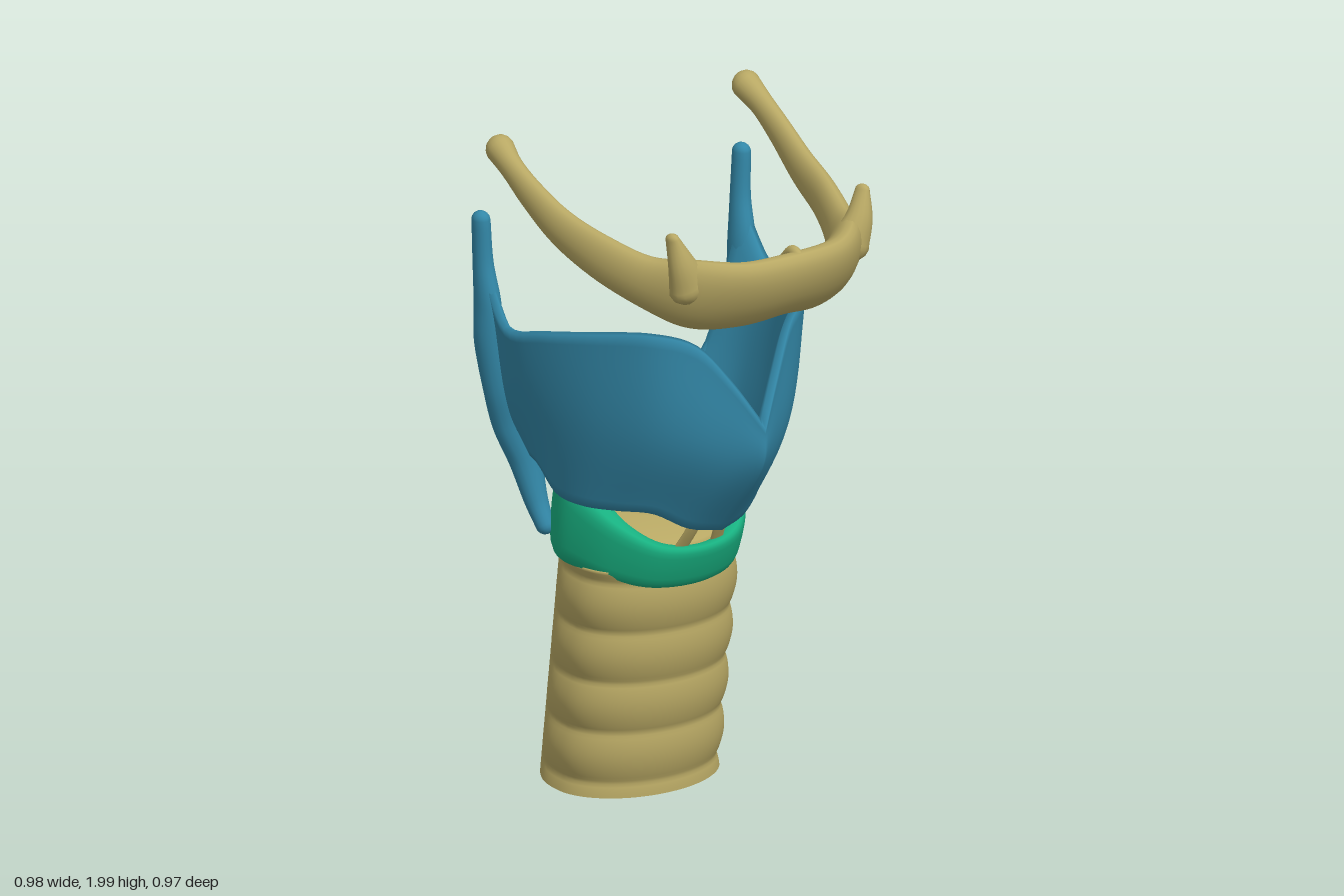
import * as THREE from 'three';

const V = (x, y, z) => new THREE.Vector3(x, y, z);
const spline = (pts, closed = false) => new THREE.CatmullRomCurve3(pts, closed, 'catmullrom', 0.5);
const mat = (color, side = THREE.FrontSide) => new THREE.MeshStandardMaterial({ color, side });
const TAN = mat(0xb8a864), BLUE = mat(0x3388a8), GREEN = mat(0x18b080), ORANGE = mat(0xb0601a);
const TUBE = mat(0xb8a864, THREE.DoubleSide);

// Skin through closed loops of equal length; faces are turned outward by signed volume
function loft(name, rows, material, { ring = false, capStart = true } = {}) {
  const n = rows[0].length, pts = rows.flat(), idx = [];
  const last = ring ? rows.length : rows.length - 1;
  for (let i = 0; i < last; i++) {
    const p = i * n, q = ((i + 1) % rows.length) * n;
    for (let j = 0; j < n; j++) {
      const k = (j + 1) % n;
      idx.push(p + j, q + j, q + k, p + j, q + k, p + k);
    }
  }
  const cap = (r, flip) => {
    const c = pts.length, o = r * n;
    pts.push(rows[r].reduce((s, v) => s.add(v), V(0, 0, 0)).divideScalar(n));
    for (let j = 0; j < n; j++) {
      const k = (j + 1) % n;
      idx.push(c, flip ? o + k : o + j, flip ? o + j : o + k);
    }
  };
  if (!ring && capStart) cap(0, false);
  if (!ring) cap(rows.length - 1, true);
  const mid = pts.reduce((s, v) => s.add(v), V(0, 0, 0)).divideScalar(pts.length);
  let vol = 0;
  for (let i = 0; i < idx.length; i += 3) {
    const [a, b, c] = [0, 1, 2].map(k => pts[idx[i + k]].clone().sub(mid));
    vol += a.dot(b.cross(c));
  }
  if (vol < 0) idx.reverse();
  const g = new THREE.BufferGeometry().setFromPoints(pts);
  g.setIndex(idx);
  g.computeVertexNormals();
  const m = new THREE.Mesh(g, material);
  m.name = name;
  return m;
}

// Rounded-end sweep; each station is [x, y, z, halfWidth, halfHeight, roll]
function sweep(name, stations, material, steps = 30, sides = 16) {
  const path = spline(stations.map(s => V(s[0], s[1], s[2])));
  const size = spline(stations.map(s => V(s[3], s[4], s[5] || 0)));
  const dir = path.getPoint(1).sub(path.getPoint(0)).normalize();
  const ref = Math.abs(dir.y) > 0.75 ? V(0, 0, 1) : V(0, 1, 0);
  const row = (t, scale, push) => {
    const tan = path.getTangent(t), s = size.getPoint(t);
    const side = tan.clone().cross(ref).normalize(), up = side.clone().cross(tan);
    const c = path.getPoint(t).addScaledVector(tan, push * Math.min(s.x, s.y));
    return Array.from({ length: sides }, (_, j) => {
      const f = j / sides * Math.PI * 2;
      const a = Math.cos(f) * s.x * scale, b = Math.sin(f) * s.y * scale;
      const cr = Math.cos(s.z), sr = Math.sin(s.z);
      return c.clone().addScaledVector(side, a * cr + b * sr).addScaledVector(up, b * cr - a * sr);
    });
  };
  const ends = [0.35, 0.75, 1.15, 1.45], rows = [];
  for (const e of [...ends].reverse()) rows.push(row(0, Math.cos(e), -Math.sin(e)));
  for (let i = 0; i <= steps; i++) rows.push(row(i / steps, 1, 0));
  for (const e of ends) rows.push(row(1, Math.cos(e), Math.sin(e)));
  return loft(name, rows, material);
}

const mirrorX = (stations, s) => stations.map(([x, ...r]) => [x * s, ...r]);

// Windpipe: ringed front, dented plain back, leaning backward toward the foot
function windpipe() {
  const rows = [], arc = 40, back = 12;
  const section = (y, scale, bump, lift) => {
    const front = -0.115 + 0.13 * y, zc = front - 0.19, loop = [];
    for (let i = 0; i <= arc; i++) {
      const a = (-40 + 260 * i / arc) * Math.PI / 180, s = Math.sin(a);
      const k = 1 + bump * Math.min(1, Math.max(0, (s + 0.64) * 3));
      loop.push(V(0.255 * k * Math.cos(a), 0, 0.19 * k * s + 0.09 * Math.min(0, s)));
    }
    const l = loop[arc].clone(), r = loop[0].clone();
    for (let i = 1; i < back; i++) {
      const p = l.clone().lerp(r, i / back);
      p.z += 0.03 * Math.sin(Math.PI * i / back);
      loop.push(p);
    }
    return loop.map(p => V(p.x * scale, y + lift * (0.5 - p.z / 0.38), zc + p.z * scale));
  };
  for (let i = 0; i <= 70; i++) {
    const y = i / 70 * 0.7;
    rows.push(section(y, 1, 0.075 * Math.pow(Math.abs(Math.cos((y - 0.12) / 0.155 * Math.PI)), 0.8) - 0.025, 0));
  }
  // Neck inside the ring cartilage, closed by a sloping lid
  rows.push(section(0.71, 0.92, 0, 0), section(0.74, 0.89, 0, 0.04), section(0.765, 0.86, 0, 0.06));
  return loft('windpipe', rows, TUBE, { capStart: false });
}

// Ring cartilage: low arch in front, tall plate behind, sheared along the windpipe's lean
function ringCartilage() {
  // outer x, outer z, inner x, inner z, bottom, top (front to back)
  const half = [
    [0, 0.042, 0, -0.015, 0.645, 0.775], [0.14, 0.01, 0.1, -0.045, 0.65, 0.79],
    [0.235, -0.08, 0.165, -0.1, 0.67, 0.845], [0.28, -0.18, 0.18, -0.18, 0.685, 0.91],
    [0.288, -0.265, 0.165, -0.25, 0.69, 0.975], [0.235, -0.345, 0.125, -0.305, 0.70, 1.045],
    [0.12, -0.37, 0.06, -0.325, 0.70, 1.055], [0, -0.39, 0, -0.328, 0.665, 1.02],
  ];
  const all = [...half, ...half.slice(1, -1).reverse().map(s => [-s[0], s[1], -s[2], ...s.slice(3)])];
  const outer = spline(all.map(s => V(s[0], s[4], s[1])), true);
  const inner = spline(all.map(s => V(s[2], s[5], s[3])), true);
  const rows = [], n = 84, m = 20;
  const pow = c => Math.sign(c) * Math.pow(Math.abs(c), 0.6);
  for (let i = 0; i < n; i++) {
    const o = outer.getPoint(i / n), q = inner.getPoint(i / n);
    rows.push(Array.from({ length: m }, (_, j) => {
      const f = j / m * Math.PI * 2, k = 0.5 + 0.5 * pow(Math.cos(f)), h = 0.5 + 0.5 * pow(Math.sin(f));
      return V(q.x + (o.x - q.x) * k, o.y + (q.y - o.y) * h, q.z + (o.z - q.z) * k + 0.05 * (h - 1));
    }));
  }
  return loft('ringCartilage', rows, GREEN, { ring: true });
}

// Shield cartilage: two flaring plates meeting in a front keel
function shieldPlates() {
  const curve = a => spline(a.map(p => V(...p)));
  const low = curve([[0, 0.84, 0.1], [0.1, 0.86, 0.075], [0.19, 0.91, 0.03], [0.255, 0.91, -0.055],
    [0.305, 0.91, -0.145], [0.327, 0.925, -0.24], [0.318, 0.985, -0.34], [0.305, 1.0, -0.425]]);
  const mid = curve([[0, 1.07, 0.283], [0.085, 1.1, 0.235], [0.18, 1.15, 0.175], [0.27, 1.17, 0.08],
    [0.345, 1.18, -0.055], [0.39, 1.19, -0.195], [0.41, 1.2, -0.32], [0.405, 1.2, -0.42]]);
  const top = curve([[0, 1.2, 0.305], [0.085, 1.345, 0.255], [0.17, 1.455, 0.2], [0.28, 1.49, 0.125],
    [0.37, 1.475, -0.01], [0.44, 1.45, -0.16], [0.473, 1.435, -0.29], [0.47, 1.56, -0.39]]);
  const at = (u, v) => spline([low.getPoint(u), mid.getPoint(u), top.getPoint(u)]).getPoint(v);
  const e = 0.01, nu = 36, nv = 18, rows = [];
  for (let i = -nu; i <= nu; i++) {
    const u = Math.abs(i) / nu, s = i < 0 ? -1 : 1, out = [], inn = [];
    for (let j = 0; j <= nv; j++) {
      const v = j / nv, p = at(u, v);
      const du = at(Math.min(1, u + e), v).sub(at(Math.max(0, u - e), v));
      const dv = at(u, Math.min(1, v + e)).sub(at(u, Math.max(0, v - e)));
      const nrm = du.cross(dv).normalize();
      if (i === 0) nrm.x = 0;
      const thick = 0.02 + 0.018 * (1 - v) + 0.025 * Math.sqrt(Math.max(0, Math.sin(Math.PI * v)));
      const q = p.clone().addScaledVector(nrm, -thick);
      out.push(V(p.x * s, p.y, p.z));
      inn.unshift(V(q.x * s, q.y, q.z));
    }
    rows.push([...out, ...inn]);
  }
  return loft('shieldPlates', rows, BLUE);
}

export function createModel() {
  const model = new THREE.Group();
  model.name = 'voiceBox';
  model.add(windpipe(), ringCartilage(), shieldPlates());

  // Horseshoe bone over the throat
  const bone = [
    [0, 1.672, 0.412, 0.055, 0.118, 0.52], [0.15, 1.66, 0.378, 0.055, 0.124, 0.5],
    [0.27, 1.668, 0.305, 0.052, 0.115, 0.3], [0.345, 1.69, 0.2, 0.042, 0.082, 0.1],
    [0.398, 1.735, 0.06, 0.036, 0.07, 0], [0.425, 1.785, -0.08, 0.033, 0.06, 0],
    [0.44, 1.853, -0.2, 0.03, 0.048, 0], [0.443, 1.91, -0.29, 0.031, 0.04, 0],
    [0.438, 1.95, -0.355, 0.041, 0.044, 0],
  ];
  model.add(sweep('horseshoeBone', [...mirrorX(bone.slice(1), -1).reverse(), ...bone], TAN, 90, 20));
  model.add(sweep('boneCrest', [[0, 1.745, 0.39, 0.012, 0.012], [0, 1.77, 0.43, 0.016, 0.02],
    [0, 1.755, 0.462, 0.016, 0.018]], TAN, 8));

  for (const s of [1, -1]) {
    const side = s > 0 ? 'left' : 'right';
    const add = (name, stations, material, steps) =>
      model.add(sweep(side + name, mirrorX(stations, s), material, steps));

    add('BoneSpur', [[0.285, 1.7, 0.32, 0.065, 0.05], [0.315, 1.77, 0.325, 0.042, 0.038],
      [0.338, 1.848, 0.312, 0.017, 0.026]], TAN, 12);

    // Upper and lower horns along the rear border of each plate
    add('ShieldHorns', [[0.275, 0.785, -0.36, 0.027, 0.027], [0.282, 0.86, -0.395, 0.036, 0.034],
      [0.302, 0.98, -0.42, 0.05, 0.04], [0.358, 1.1, -0.42, 0.053, 0.036],
      [0.41, 1.22, -0.402, 0.046, 0.036], [0.447, 1.36, -0.397, 0.039, 0.044],
      [0.452, 1.48, -0.395, 0.035, 0.046], [0.458, 1.6, -0.408, 0.028, 0.033],
      [0.464, 1.73, -0.41, 0.025, 0.03]], BLUE, 50);

    // Pyramid cartilage with its two processes
    add('PyramidBody', [[0.125, 1.05, -0.315, 0.054, 0.044], [0.11, 1.12, -0.32, 0.042, 0.035],
      [0.092, 1.19, -0.33, 0.03, 0.027], [0.08, 1.235, -0.35, 0.018, 0.016]], ORANGE, 16);
    add('MuscleProcess', [[0.11, 1.08, -0.315, 0.04, 0.04], [0.155, 1.065, -0.32, 0.028, 0.028]], ORANGE, 8);
    add('VocalProcess', [[0.11, 1.09, -0.3, 0.038, 0.038], [0.08, 1.09, -0.25, 0.026, 0.026],
      [0.062, 1.09, -0.2, 0.014, 0.016]], ORANGE, 10);
    add('VocalCord', [[0.062, 1.09, -0.22, 0.013, 0.018], [0.024, 1.09, 0.1, 0.013, 0.018]], ORANGE, 8);

    // Thin band from the ring up to the cords
    add('FrontBand', [[0.065, 0.765, -0.01, 0.024, 0.007], [0.045, 0.87, 0.045, 0.022, 0.007],
      [0.025, 1.07, 0.11, 0.02, 0.007]], TAN, 10);
  }
  model.add(sweep('cordAnchor', [[0, 1.09, 0.085, 0.04, 0.03], [0, 1.09, 0.12, 0.034, 0.026]], ORANGE, 6));
  return model;
}
